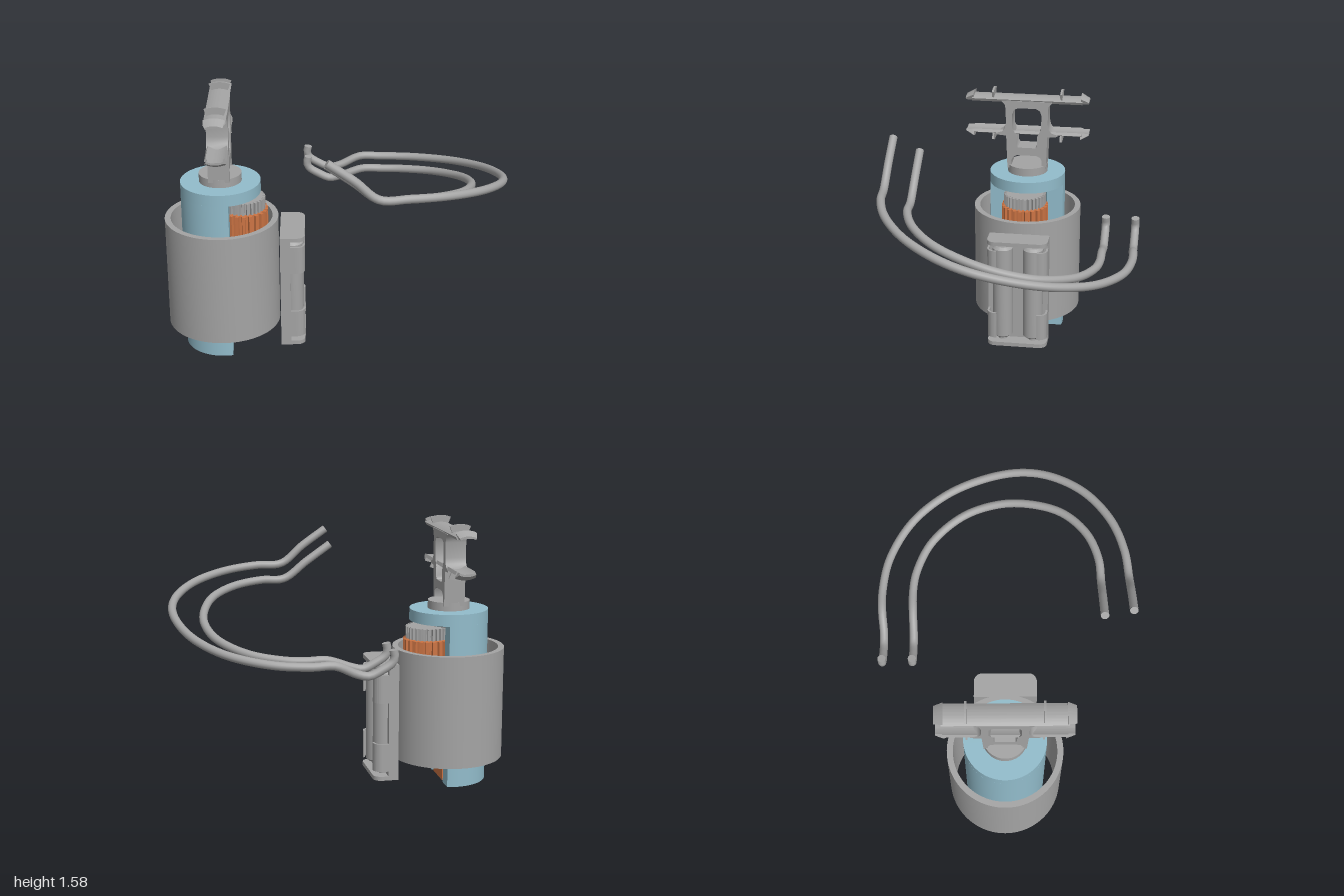
import * as THREE from 'three';
import { toCreasedNormals } from 'three/addons/utils/BufferGeometryUtils.js';

const std = (name, color, side = THREE.FrontSide) => {
  const m = new THREE.MeshStandardMaterial({ color, side });
  m.name = name;
  return m;
};

export function createModel() {
  const gray = std('gray', 0xa4a4a4);
  const blue = std('pale blue', 0x92bccb);
  const orange = std('orange', 0xcc7444);
  const root = new THREE.Group();
  const PI = Math.PI;

  const add = (parent, name, geo, mat, x = 0, y = 0, z = 0) => {
    const m = new THREE.Mesh(geo, mat);
    m.name = name;
    m.position.set(x, y, z);
    parent.add(m);
    return m;
  };
  const group = (name, x = 0) => {
    const g = new THREE.Group();
    g.name = name;
    g.position.x = x;
    root.add(g);
    return g;
  };
  const extrude = (shape, depth, seg = 24) =>
    new THREE.ExtrudeGeometry(shape, { depth, bevelEnabled: false, curveSegments: seg });
  const smooth = (geo) => toCreasedNormals(geo, 0.6);
  // plan outline raised along y
  const upright = (shape, h, seg) => smooth(extrude(shape, h, seg).rotateX(-PI / 2));
  // side outline (z, y) extruded across x
  const across = (shape, w) => smooth(extrude(shape, w).rotateY(PI / 2).translate(-w / 2, 0, 0));
  const path = (pts, T = THREE.Shape) => new T(pts.map((p) => new THREE.Vector2(p[0], p[1])));
  const disc = (r) => new THREE.Shape().absarc(0, 0, r, 0, PI * 2, false);
  const gearShape = (r0, r1, n) => {
    const pts = [];
    for (let i = 0; i < n; i++) {
      [[0, r0], [0.35, r0], [0.45, r1], [0.9, r1]].forEach(([t, r]) => {
        const a = ((i + t) / n) * PI * 2;
        pts.push([r * Math.cos(a), r * Math.sin(a)]);
      });
    }
    return path(pts);
  };

  // ---- Handle unit: sleeve, body, drive and head share one vertical axis
  const unit = group('handle', -0.665);

  const ring = disc(0.335);
  ring.holes.push(new THREE.Path().absarc(0, 0, 0.3, 0, PI * 2, true));
  add(unit, 'sleeve', upright(ring, 0.675, 40), gray, 0, 0.145);

  // body with a flat cut and a round pocket for the motor
  const a = Math.acos(0.055 / 0.235);
  const cut = new THREE.Shape();
  cut.absarc(0, 0, 0.235, a, PI * 2 - a, false);
  cut.lineTo(0.055, -0.13);
  cut.absarc(0.13, 0, 0.15, (PI * 4) / 3, (PI * 2) / 3, true);
  cut.closePath();
  add(unit, 'body', upright(cut, 0.98, 32), blue);
  add(unit, 'bodyCap', new THREE.CylinderGeometry(0.235, 0.235, 0.07, 64), blue, 0, 1.015);

  // motor, gear and orange carrier
  add(unit, 'motor', new THREE.CylinderGeometry(0.1, 0.1, 0.72, 32), gray, 0.11, 0.5);
  add(unit, 'carrier', upright(gearShape(0.128, 0.145, 22), 0.37), orange, 0.13, 0.5);
  add(unit, 'gear', upright(gearShape(0.114, 0.13, 30), 0.07), gray, 0.13, 0.875);
  add(unit, 'gearHub', new THREE.CylinderGeometry(0.115, 0.08, 0.035, 32), gray, 0.02, 0.9625);
  add(unit, 'carrierFoot', new THREE.BoxGeometry(0.06, 0.14, 0.19), orange, 0.02, 0.071);
  const foot = new THREE.Shape();
  foot.moveTo(0, -0.095);
  foot.lineTo(0.1, -0.095);
  foot.absarc(0.1, 0, 0.095, -PI / 2, PI / 2, false);
  foot.lineTo(0, 0.095);
  foot.closePath();
  foot.holes.push(new THREE.Path().absarc(0.1, 0, 0.05, 0, PI * 2, true));
  add(unit, 'carrierRing', upright(foot, 0.04), orange, 0, 0.09);
  for (const z of [-0.06, 0.06])
    add(unit, 'terminal', new THREE.BoxGeometry(0.012, 0.02, 0.012), orange, 0.15, 0.09, z);

  // head frame with two windows
  add(unit, 'headBase', new THREE.CylinderGeometry(0.125, 0.125, 0.05, 48), gray, 0, 1.075);
  const side = [[0.12, 1.08], [0.128, 1.29], [0.19, 1.295], [0.19, 1.305], [0.155, 1.315],
    [0.137, 1.335], [0.13, 1.37], [0.13, 1.46], [0.137, 1.49], [0.155, 1.508], [0.155, 1.515]];
  const frame = path([...side, ...side.map(([z, y]) => [-z, y]).reverse()]);
  const half = [[0.055, 1.215], [0.065, 1.23], [0.065, 1.29], [0.09, 1.34], [0.09, 1.43], [0.08, 1.457], [0.055, 1.47]];
  const low = [[0.095, 1.1], [0.095, 1.13], [0.085, 1.153], [0.06, 1.165]];
  for (const h of [half, low])
    frame.holes.push(path([...h, ...h.map(([z, y]) => [-z, y]).reverse()], THREE.Path));
  add(unit, 'headFrame', across(frame, 0.125), gray);

  // curved wings, with cross ribs and barbed tips
  const sector = (r0, r1, depth) => {
    const h = Math.asin(0.0625 / r1);
    const s = new THREE.Shape();
    s.absarc(0, 0, r1, PI / 2 - h, PI / 2 + h, false);
    s.absarc(0, 0, r0, PI / 2 + h, PI / 2 - h, true);
    s.closePath();
    return extrude(s, depth, 10);
  };
  const barb = sector(0.11, 0.15, 0.05);
  const bp = barb.attributes.position;
  for (let i = 0; i < bp.count; i++) {
    const r = Math.hypot(bp.getX(i), bp.getY(i));
    if (r > 0.13 && bp.getZ(i) > 0.02) {
      const k = 0.122 / r;
      bp.setXY(i, bp.getX(i) * k, bp.getY(i) * k);
    }
  }
  const barbGeo = smooth(barb);
  for (const upper of [true, false]) {
    const wing = new THREE.Group();
    wing.name = upper ? 'upperWing' : 'lowerWing';
    wing.position.y = upper ? 1.408 : 1.42;
    if (!upper) wing.rotation.z = PI;
    unit.add(wing);
    add(wing, 'wingPlate', smooth(sector(0.11, 0.13, 0.68)), gray, 0, 0, -0.34);
    for (const s of [1, -1]) {
      add(wing, 'wingRib', smooth(sector(0.11, 0.17, 0.012)), gray, 0, 0, s * 0.21 - 0.006);
      add(wing, 'wingBarb', barbGeo, gray, 0, 0, s * 0.33).rotation.y = s > 0 ? 0 : PI;
    }
  }

  // ---- Battery holder beside the sleeve
  const holder = group('batteryHolder');
  add(holder, 'holderBase', new THREE.BoxGeometry(0.06, 0.705, 0.372), gray, -0.29, 0.4025, 0.004);
  const cap = new THREE.Shape();
  cap.moveTo(-0.32, -0.19);
  cap.lineTo(-0.225, -0.19);
  cap.absarc(-0.225, -0.14, 0.05, -PI / 2, 0, false);
  cap.absarc(-0.225, 0.132, 0.05, 0, PI / 2, false);
  cap.lineTo(-0.32, 0.182);
  cap.closePath();
  for (const y of [0.05, 0.73]) add(holder, 'endCap', upright(cap, 0.025), gray, 0, y);
  // hooked clips curl over the cells
  const clip = new THREE.Shape();
  clip.moveTo(-0.27, 0.186);
  clip.lineTo(-0.225, 0.186);
  clip.absarc(-0.225, 0.136, 0.05, PI / 2, 0, true);
  clip.lineTo(-0.175, 0.125);
  clip.lineTo(-0.187, 0.125);
  clip.absarc(-0.225, 0.136, 0.038, 0, PI / 2, false);
  clip.lineTo(-0.27, 0.174);
  clip.closePath();
  const clipGeo = upright(clip, 0.17);
  for (const y of [0.105, 0.525]) {
    add(holder, 'rightClip', clipGeo, gray, 0, y, 0.004);
    const m = add(holder, 'leftClip', clipGeo, gray, 0, y + 0.17, 0.004);
    m.rotation.x = PI;
  }
  for (const z of [0.098, -0.09]) {
    const pts = [[0, -0.307], [0.045, -0.307], [0.062, -0.292], [0.062, 0.292], [0.045, 0.307], [0, 0.307]];
    const geo = new THREE.LatheGeometry(pts.map((p) => new THREE.Vector2(...p)), 32);
    add(holder, 'cell', smooth(geo.toNonIndexed()), gray, -0.247, 0.402, z);
    for (const y of [0.085, 0.72])
      add(holder, 'contact', new THREE.CylinderGeometry(0.025, 0.025, 0.03, 16), gray, -0.247, y, z);
  }

  // ---- Two bent rods: an open hook, a tilted sweep and a curled end
  const rods = group('rods');
  const rod = (name, start, plan, y0, zEnd, slope) => {
    const sweep = plan.map(([x, z]) => new THREE.Vector3(x, y0 + (z - zEnd) * slope, z));
    const curl = [[0.05, 0.845], [-0.02, 0.83], [-0.09, 0.86], [-0.15, 0.9], [-0.162, 0.93], [-0.155, 0.972]]
      .map(([x, y]) => new THREE.Vector3(x, y, zEnd));
    const curve = new THREE.CatmullRomCurve3(
      [new THREE.Vector3(...start), new THREE.Vector3(0.1, start[1] - 0.105, start[2]), ...sweep, ...curl],
      false, 'centripetal');
    add(rods, name, new THREE.TubeGeometry(curve, 110, 0.024, 14), gray);
    for (const t of [0, 1]) {
      const dir = curve.getTangentAt(t).multiplyScalar(t ? 1 : -1);
      const p = curve.getPointAt(t);
      const end = add(rods, name + 'End', new THREE.CircleGeometry(0.024, 14), gray, p.x, p.y, p.z);
      end.quaternion.setFromUnitVectors(new THREE.Vector3(0, 0, 1), dir);
    }
  };
  rod('outerRod', [-0.05, 1.445, 0.71],
    [[0.23, 0.71], [0.4, 0.69], [0.6, 0.62], [0.8, 0.47], [0.93, 0.27], [0.975, 0.08], [0.95, -0.15],
      [0.87, -0.36], [0.72, -0.55], [0.5, -0.68], [0.3, -0.72], [0.17, -0.72]], 0.9, -0.71, 0.235);
  rod('innerRod', [-0.05, 1.37, 0.555],
    [[0.24, 0.555], [0.38, 0.545], [0.55, 0.48], [0.7, 0.34], [0.78, 0.15], [0.8, -0.03], [0.75, -0.24],
      [0.6, -0.43], [0.42, -0.52], [0.3, -0.54], [0.18, -0.54]], 0.89, -0.535, 0.25);

  return root;
}
